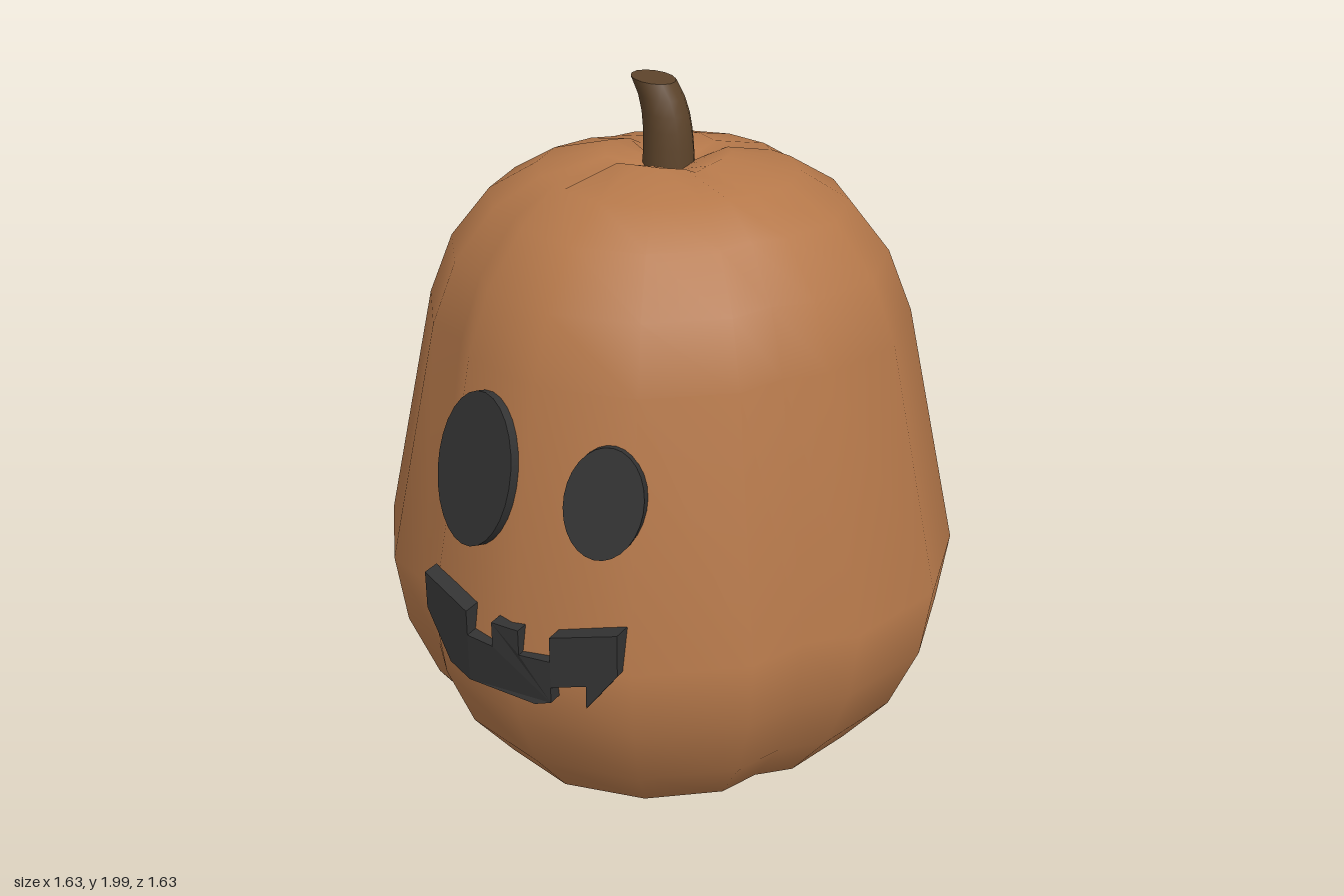
import * as THREE from 'three';
import { mergeVertices } from 'three/addons/utils/BufferGeometryUtils.js';

const mat = (color, opts = {}) => new THREE.MeshStandardMaterial({ color, ...opts });

function addMesh(parent, name, geometry, material) {
  const mesh = new THREE.Mesh(geometry, material);
  mesh.name = name;
  parent.add(mesh);
  return mesh;
}

// Move every vertex of a geometry by a rule
function reshape(geometry, rule) {
  const pos = geometry.attributes.position;
  const v = new THREE.Vector3();
  for (let i = 0; i < pos.count; i++) {
    rule(v.fromBufferAttribute(pos, i), i);
    pos.setXYZ(i, v.x, v.y, v.z);
  }
  return geometry;
}

// Four-lobed body: a lathe whose columns are pulled in at the grooves
function bodyGeometry() {
  const profile = [
    [0, 0.05], [0.1, 0.03], [0.2, 0.005], [0.4, 0.06], [0.575, 0.16], [0.705, 0.32],
    [0.785, 0.51], [0.813, 0.71], [0.66, 1.39], [0.592, 1.555], [0.482, 1.69],
    [0.35, 1.765], [0.17, 1.812], [0.08, 1.785], [0, 1.76],
  ];
  const angles = [0, 23, 45, 57, 68];
  const pulls = [1, 0.99, 0.965, 0.905, 0.965];
  const geo = new THREE.LatheGeometry(profile.map(p => new THREE.Vector2(...p)), 20);
  reshape(geo, (v, i) => {
    const column = Math.floor(i / profile.length) % 20;
    const [r, y] = profile[i % profile.length];
    const pull = pulls[column % 5];
    const a = THREE.MathUtils.degToRad(Math.floor(column / 5) * 90 + angles[column % 5]);
    // grooves also dip a little on the top and bottom
    const dip = r < 0.25 ? (1 - pull) * 0.25 * Math.sign(1 - y) * (r > 0 ? 1 : 0) : 0;
    v.set(r * pull * Math.sin(a), y + dip, r * pull * Math.cos(a));
  });
  geo.deleteAttribute('uv');
  geo.deleteAttribute('normal');
  const welded = mergeVertices(geo, 1e-5);
  welded.computeVertexNormals();
  return welded;
}

// Stem that leans to one side towards its flared tip
function stemGeometry() {
  let geo = new THREE.CylinderGeometry(1, 1, 1, 14, 6);
  geo.deleteAttribute('uv');
  reshape(geo, v => {
    const t = v.y + 0.5;
    const r = 0.071 - 0.012 * t;
    const lean = -0.045 * Math.pow(t, 4);
    v.set(v.x * r + lean, 1.74 + t * 0.252 - v.x * 0.008 * t, v.z * r - 0.006);
  });
  geo = mergeVertices(geo, 1e-5);
  geo.computeVertexNormals();
  return geo;
}

// Flat mouth piece, bent to follow the body
function mouthGeometry(points) {
  const shape = new THREE.Shape(points.map(p => new THREE.Vector2(...p)));
  const geo = new THREE.ExtrudeGeometry(shape, { depth: 0.05, bevelEnabled: false });
  reshape(geo, v => {
    const x = Math.abs(v.x);
    const slope = v.x < 0 ? 0.36 : 0.24;
    v.z += 0.775 - Math.min(x, 0.12) * 0.12 - Math.max(0, x - 0.12) * slope;
  });
  geo.computeVertexNormals();
  return geo;
}

export function createModel() {
  const model = new THREE.Group();
  model.name = 'pumpkin';
  const dark = mat(0x333333);

  addMesh(model, 'body', bodyGeometry(), mat(0xb5784a));
  addMesh(model, 'stem', stemGeometry(), mat(0x5c432a));

  // Oval eyes of different sizes, tilted back with the body
  const eyes = [
    { name: 'rightEye', at: [-0.16, 1.138, 0.675], size: [0.138, 0.203], turn: [-0.22, -0.28, -0.04] },
    { name: 'leftEye', at: [0.208, 1.137, 0.677], size: [0.1, 0.142], turn: [-0.23, 0.27, -0.13] },
  ];
  for (const { name, at, size, turn } of eyes) {
    const disc = new THREE.CylinderGeometry(1, 1, 0.042, 28).rotateX(Math.PI / 2);
    const eye = addMesh(model, name, disc.scale(size[0], size[1], 1), dark);
    eye.position.set(...at);
    eye.rotation.set(...turn, 'YXZ');
  }

  // Jagged grin in three bent pieces
  const mouth = new THREE.Group();
  mouth.name = 'mouth';
  model.add(mouth);
  const pieces = {
    mouthRight: [[-0.3, 0.835], [-0.3, 0.73], [-0.21, 0.61], [-0.13, 0.597], [-0.13, 0.8]],
    mouthMiddle: [
      [-0.13, 0.597], [0.075, 0.595], [0.12, 0.61], [0.12, 0.73], [0.035, 0.73],
      [0.035, 0.8], [-0.045, 0.8], [-0.045, 0.73], [-0.13, 0.73],
    ],
    mouthLeft: [[0.12, 0.8], [0.12, 0.655], [0.21, 0.675], [0.21, 0.61], [0.29, 0.72], [0.29, 0.835]],
  };
  for (const [name, points] of Object.entries(pieces)) {
    addMesh(mouth, name, mouthGeometry(points), dark);
  }
  return model;
}
